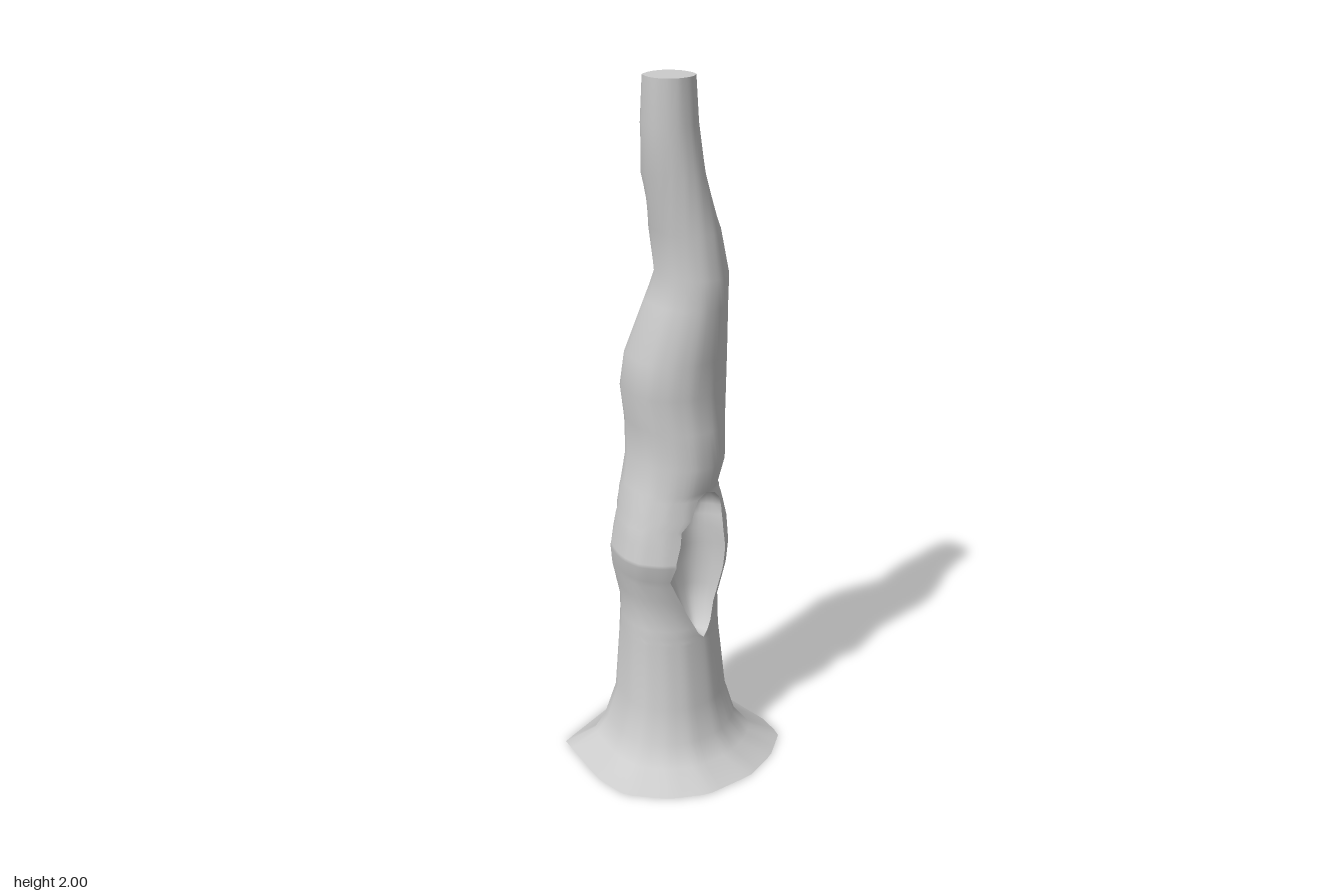
import * as THREE from 'three';
import { mergeVertices } from 'three/addons/utils/BufferGeometryUtils.js';

// Trunk extents by height: y, xMin, xMax, zMin, zMax
const TRUNK = [
  [0, -0.29, 0.29, -0.285, 0.283], [0.04, -0.21, 0.22, -0.22, 0.2], [0.1, -0.18, 0.175, -0.19, 0.16],
  [0.2, -0.15, 0.15, -0.165, 0.135], [0.4, -0.14, 0.135, -0.155, 0.115], [0.5, -0.135, 0.135, -0.155, 0.11],
  [0.6, -0.155, 0.16, -0.175, 0.13], [0.67, -0.175, 0.16, -0.165, 0.14], [0.75, -0.16, 0.155, -0.155, 0.13],
  [0.87, -0.13, 0.12, -0.15, 0.12], [0.95, -0.11, 0.125, -0.15, 0.14], [1.05, -0.11, 0.135, -0.15, 0.13],
  [1.15, -0.125, 0.152, -0.155, 0.12], [1.25, -0.12, 0.14, -0.14, 0.13], [1.4, -0.08, 0.11, -0.09, 0.145],
  [1.48, -0.06, 0.105, -0.065, 0.145], [1.6, -0.072, 0.085, -0.07, 0.13], [1.75, -0.1, 0.045, -0.065, 0.105],
  [1.88, -0.11, 0.028, -0.052, 0.092], [2, -0.11, 0.018, -0.042, 0.088],
];

// Outline of the hollow: y, left x, right x
const HOLLOW = [
  [0.41, 0, 0], [0.425, -0.018, 0.016], [0.45, -0.03, 0.035], [0.5, -0.055, 0.055], [0.55, -0.08, 0.065],
  [0.62, -0.113, 0.078], [0.68, -0.108, 0.08], [0.73, -0.092, 0.075], [0.77, -0.085, 0.075],
  [0.8, -0.055, 0.077], [0.83, -0.043, 0.067], [0.855, -0.03, 0.04], [0.87, 0, 0],
];

// Irregular foot polygon, (x, z)
const FOOT = [
  [-0.22, -0.245], [0.025, -0.285], [0.225, -0.238], [0.289, -0.05], [0.272, 0.118], [0.242, 0.208],
  [0.14, 0.262], [0.025, 0.283], [-0.127, 0.253], [-0.22, 0.183], [-0.29, 0.075], [-0.287, -0.035],
];

const lerp = THREE.MathUtils.lerp;

// Linear lookup in a table sorted by its first column
function sample(table, y) {
  let i = 0;
  while (i < table.length - 2 && y > table[i + 1][0]) i++;
  const f = THREE.MathUtils.clamp((y - table[i][0]) / (table[i + 1][0] - table[i][0]), 0, 1);
  return table[i].map((v, k) => lerp(v, table[i + 1][k], f));
}

// Foot polygon radius in direction t (0 = front, growing towards +x), scaled to about 1
function footRadius(t) {
  const dx = Math.sin(t), dz = Math.cos(t);
  for (let i = 0; i < FOOT.length; i++) {
    const [ax, az] = FOOT[i], [bx, bz] = FOOT[(i + 1) % FOOT.length];
    const ex = bx - ax, ez = bz - az, d = dx * ez - dz * ex;
    const r = (ax * ez - az * ex) / d, s = (ax * dz - az * dx) / d;
    if (r > 0 && s >= -1e-6 && s <= 1 + 1e-6) return r / 0.287;
  }
  return 1;
}

// Point on the bark; the section gets rounder above the foot
function bark(y, t) {
  const [, x0, x1, z0, z1] = sample(TRUNK, y);
  const r = lerp(footRadius(t), 1, 0.5 * Math.min(1, y / 0.3));
  return new THREE.Vector3(
    (x0 + x1) / 2 + (x1 - x0) / 2 * r * Math.sin(t), y,
    (z0 + z1) / 2 + (z1 - z0) / 2 * r * Math.cos(t));
}

// Direction at which the front of the bark reaches a given x
function angleAt(y, x) {
  let lo = -1.3, hi = 1.3;
  for (let i = 0; i < 40; i++) {
    const mid = (lo + hi) / 2;
    if (bark(y, mid).x < x) lo = mid; else hi = mid;
  }
  return (lo + hi) / 2;
}

// Smooth surface through rows of points
function loft(rows) {
  const n = rows[0].length, index = [];
  for (let i = 0; i < rows.length - 1; i++) {
    for (let j = 0; j < n - 1; j++) {
      const a = i * n + j, c = a + n;
      index.push(a, a + 1, c, a + 1, c + 1, c);
    }
  }
  const geo = new THREE.BufferGeometry().setFromPoints(rows.flat());
  geo.setIndex(index);
  const merged = mergeVertices(geo, 1e-5);
  merged.computeVertexNormals();
  return merged;
}

// Flat cap over a ring
function cap(ring, up) {
  const n = ring.length - 1, centre = new THREE.Vector3(), index = [];
  for (let j = 0; j < n; j++) {
    centre.addScaledVector(ring[j], 1 / n);
    if (up) index.push(0, j + 1, j + 2); else index.push(0, j + 2, j + 1);
  }
  const geo = new THREE.BufferGeometry().setFromPoints([centre, ...ring]);
  geo.setIndex(index);
  geo.computeVertexNormals();
  return geo;
}

export function createModel() {
  const group = new THREE.Group();
  group.name = 'hollowTreeTrunk';
  const material = new THREE.MeshStandardMaterial({ color: 0xcccccc, roughness: 0.9, side: THREE.DoubleSide });
  const add = (name, geo) => {
    const mesh = new THREE.Mesh(geo, material);
    mesh.name = name;
    group.add(mesh);
  };

  // Bark runs from the right lip round the back to the left lip
  const heights = [...new Set([...TRUNK, ...HOLLOW].map((r) => r[0]))].sort((a, b) => a - b);
  const COLS = 60;
  const rows = heights.map((y) => {
    const [, left, right] = sample(HOLLOW, y);
    const from = angleAt(y, right), to = angleAt(y, left) + Math.PI * 2;
    return Array.from({ length: COLS + 1 }, (_, j) => bark(y, lerp(from, to, j / COLS)));
  });
  add('bark', loft(rows));
  add('cutTop', cap(rows[rows.length - 1], true));
  add('footUnderside', cap(rows[0], false));

  // Hollow: a scooped pocket between the two lips
  const ACROSS = 14;
  const pocket = HOLLOW.map(([y, left, right], i) => {
    const a = bark(y, angleAt(y, left)), b = bark(y, angleAt(y, right));
    const depth = 0.075 * Math.sqrt(Math.sin(Math.PI * i / (HOLLOW.length - 1)));
    return Array.from({ length: ACROSS + 1 }, (_, j) => {
      const p = a.clone().lerp(b, j / ACROSS);
      p.z -= depth * (1 - Math.pow(Math.abs(2 * j / ACROSS - 1), 3));
      return p;
    });
  });
  add('hollow', loft(pocket));

  return group;
}
